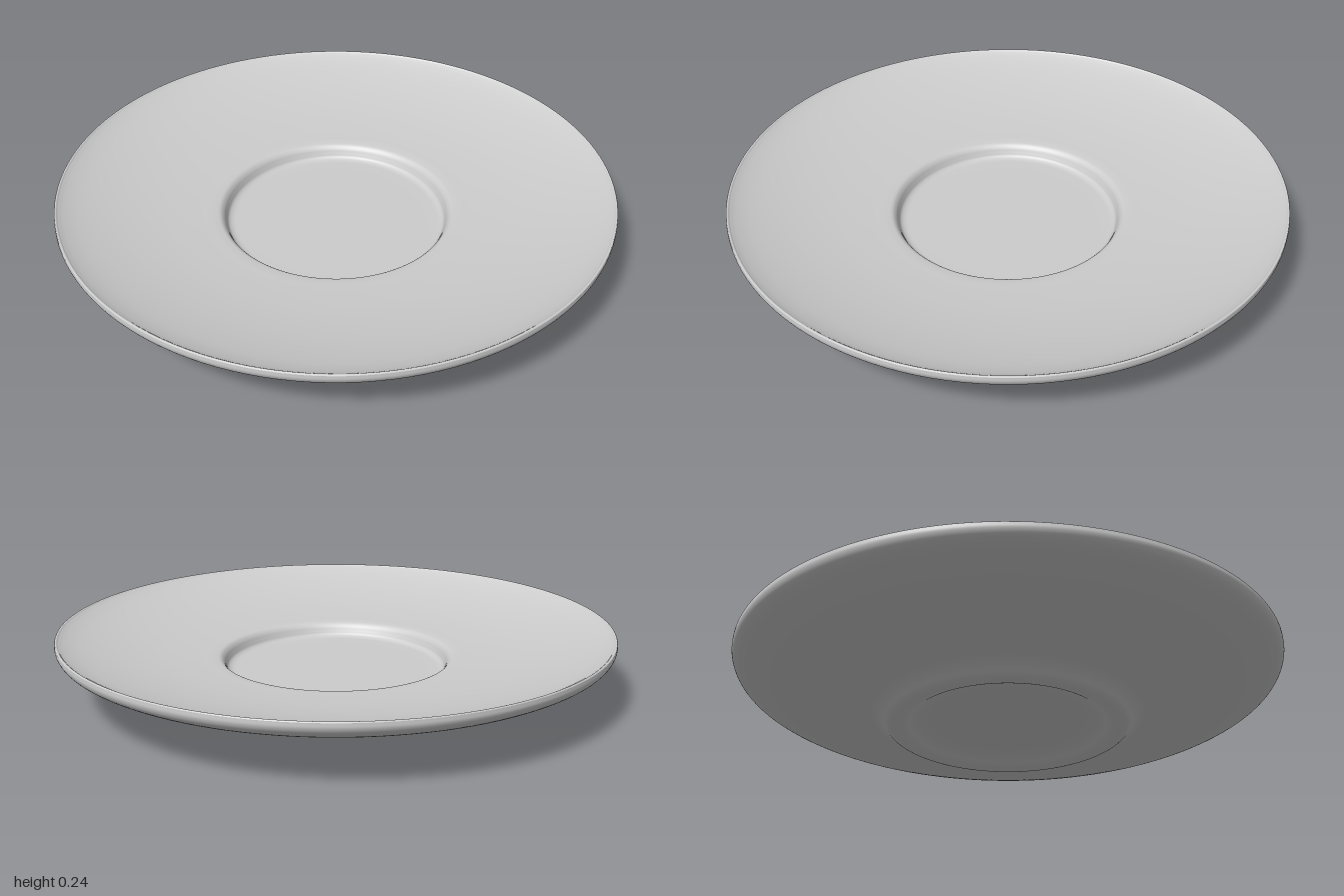
import * as THREE from 'three';

// Smooth run of [radius, height] points
function smooth(points, steps) {
  const curve = new THREE.CatmullRomCurve3(
    points.map(([r, y]) => new THREE.Vector3(r, y, 0)), false, 'centripetal');
  return curve.getPoints(steps).map(p => new THREE.Vector2(Math.max(p.x, 0), p.y));
}

export function createModel() {
  const group = new THREE.Group();
  const porcelain = new THREE.MeshStandardMaterial({ color: 0xcccccc });
  porcelain.name = 'porcelain';

  const addSurface = (name, points, steps) => {
    const mesh = new THREE.Mesh(new THREE.LatheGeometry(smooth(points, steps), 128), porcelain);
    mesh.name = name;
    group.add(mesh);
  };

  // Recessed base, foot ring, cove and curved underside up to the rim
  addSurface('underside', [
    [0, 0.04], [0.2, 0.04], [0.3, 0.037], [0.34, 0.025], [0.37, 0.008], [0.395, 0.001],
    [0.41, 0], [0.435, 0.008], [0.46, 0.03], [0.49, 0.048], [0.54, 0.061], [0.66, 0.083],
    [0.8, 0.117], [0.9, 0.15], [0.96, 0.175], [0.99, 0.196], [1, 0.215], [1, 0.232],
  ], 100);

  // Thin rounded lip joining the two faces
  addSurface('rim', [[1, 0.232], [0.998, 0.235], [0.993, 0.235], [0.988, 0.231]], 10);

  // Dished upper face, ending in the round cup well
  addSurface('dishAndWell', [
    [0.988, 0.231], [0.97, 0.222], [0.92, 0.204], [0.8, 0.175], [0.65, 0.151], [0.5, 0.137],
    [0.44, 0.133], [0.42, 0.129], [0.408, 0.118], [0.4, 0.102], [0.393, 0.089],
    [0.38, 0.082], [0.35, 0.08], [0.2, 0.08], [0, 0.08],
  ], 100);

  return group;
}
